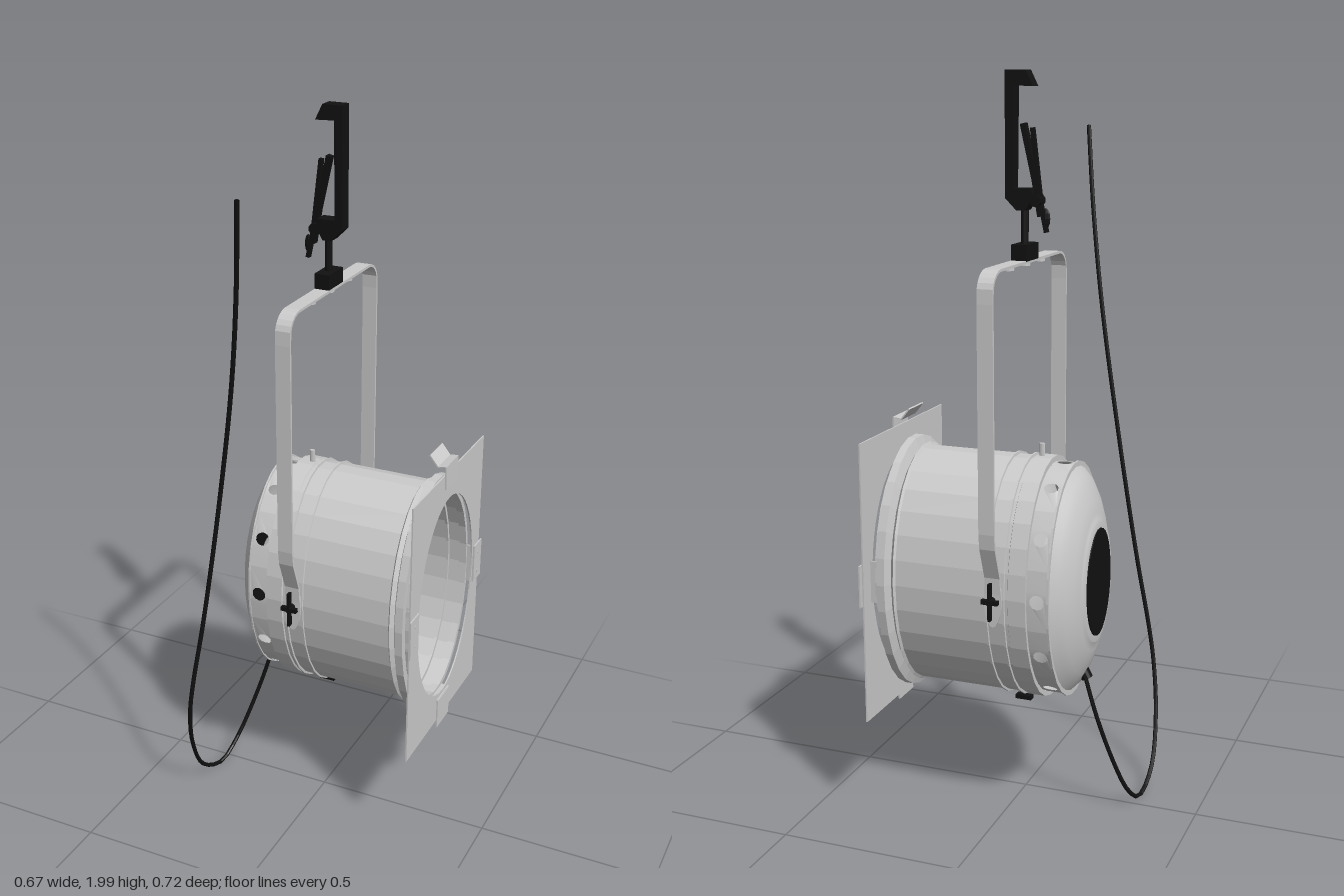
import * as THREE from 'three';

const make = (color, flatShading) =>
  new THREE.MeshStandardMaterial({ color, flatShading, side: THREE.DoubleSide });
const grey = make(0xcccccc, true);
const smooth = make(0xcccccc, false);
const black = make(0x111111, true);

const CY = 0.685, CZ = -0.09, SQUASH = 0.667, YOKE_X = -0.03;

function add(parent, name, geometry, material, x = 0, y = 0, z = 0) {
  const mesh = new THREE.Mesh(geometry, material);
  mesh.name = name;
  mesh.position.set(x, y, z);
  parent.add(mesh);
  return mesh;
}

// Turned part around the x axis, from [x, radius] pairs
function turned(profile, sides = 30) {
  const points = profile.map(([x, r]) => new THREE.Vector2(r, x));
  return new THREE.LatheGeometry(points, sides).rotateZ(-Math.PI / 2);
}

const shapeOf = (pairs) => new THREE.Shape(pairs.map(([x, y]) => new THREE.Vector2(x, y)));

// Extrusion centred on its depth; axis 'x' maps shape (z, y) into the side plane
function plate(shape, depth, sideways) {
  const g = new THREE.ExtrudeGeometry(shape, { depth, bevelEnabled: false, curveSegments: 24 });
  g.translate(0, 0, -depth / 2);
  return sideways ? g.rotateY(-Math.PI / 2) : g;
}

// Outline of a bent strip of constant thickness
function strip(pairs, t) {
  const p = pairs.map(([x, y]) => new THREE.Vector2(x, y));
  const side = (s) => p.map((v, i) => {
    const d = p[Math.min(i + 1, p.length - 1)].clone().sub(p[Math.max(i - 1, 0)]).normalize();
    return new THREE.Vector2(v.x - d.y * t * s / 2, v.y + d.x * t * s / 2);
  });
  return new THREE.Shape([...side(1), ...side(-1).reverse()]);
}

// One curved panel of the vent band with a round hole
function ventPanel(r, x0, x1) {
  const half = r * Math.PI / 12, n = 3, pts = [];
  for (let i = 0; i <= n; i++) pts.push([-half + 2 * half * i / n, x0]);
  for (let i = n; i >= 0; i--) pts.push([-half + 2 * half * i / n, x1]);
  const shape = shapeOf(pts);
  const hole = new THREE.Path();
  hole.absarc(0, (x0 + x1) / 2, 0.02, 0, Math.PI * 2, true);
  shape.holes.push(hole);
  const g = new THREE.ShapeGeometry(shape, 5);
  const pos = g.attributes.position;
  for (let i = 0; i < pos.count; i++) {
    const a = pos.getX(i) / r;
    pos.setXYZ(i, pos.getY(i), r * Math.cos(a), r * Math.sin(a));
  }
  g.computeVertexNormals();
  return g;
}

function buildCan() {
  const can = new THREE.Group();
  can.name = 'lampHousing';
  can.position.set(0, CY, CZ);
  can.scale.z = SQUASH;

  // Barrel with collar, beads and front flange, returning inside as a wall
  add(can, 'barrel', turned([
    [-0.115, 0.318], [-0.115, 0.333], [-0.068, 0.333], [-0.066, 0.328], [-0.058, 0.328],
    [-0.057, 0.335], [-0.052, 0.335], [-0.051, 0.328], [-0.01, 0.328], [-0.009, 0.335],
    [-0.004, 0.335], [-0.003, 0.329], [0.25, 0.329], [0.255, 0.338], [0.265, 0.322],
    [0.275, 0.355], [0.297, 0.355], [0.297, 0.325], [0.311, 0.325], [0.311, 0.308],
    [0.29, 0.308], [0.288, 0.318], [-0.1, 0.318], [-0.115, 0.318]]), grey);
  add(can, 'frontLip', turned([[0.25, 0.318], [0.25, 0.305], [0.257, 0.305], [0.257, 0.318]]), grey);

  // Vent band around the rear
  const panel = ventPanel(0.318, -0.172, -0.115);
  for (let i = 0; i < 12; i++) add(can, 'ventPanel', panel, smooth).rotation.x = i * Math.PI / 6;
  add(can, 'ventRim', turned([[-0.17, 0.318], [-0.17, 0.323], [-0.175, 0.323], [-0.175, 0.305]]), grey);

  // Domed rear cap and its dark grille
  add(can, 'rearDome', turned([[-0.238, 0.13], [-0.24, 0.165], [-0.232, 0.168], [-0.231, 0.19],
    [-0.221, 0.225], [-0.208, 0.26], [-0.192, 0.29], [-0.174, 0.31], [-0.172, 0.318]], 36), smooth);
  add(can, 'rearGrille', new THREE.CylinderGeometry(0.148, 0.148, 0.004, 30).rotateZ(Math.PI / 2),
    black, -0.24);

  // Lamp: neck, reflector bowl and convex lens
  add(can, 'lamp', turned([[-0.225, 0.001], [-0.225, 0.06], [-0.13, 0.08], [-0.112, 0.16], [-0.085, 0.26],
    [-0.06, 0.312], [-0.05, 0.312], [-0.035, 0.25], [-0.02, 0.16], [-0.012, 0.08], [-0.01, 0.0]], 36), smooth);

  // Small hardware on the shell
  add(can, 'topLatch', new THREE.CylinderGeometry(0.008, 0.008, 0.04, 10), grey, -0.08, 0.345);
  add(can, 'bottomBolt', new THREE.CylinderGeometry(0.006, 0.006, 0.035, 8), black, YOKE_X, -0.342);
  add(can, 'bottomWing', new THREE.BoxGeometry(0.045, 0.012, 0.03), black, YOKE_X, -0.358);
  return can;
}

function buildFilterFrame() {
  const frame = new THREE.Group();
  frame.name = 'filterFrame';
  // Thin plate with an oval opening
  const shape = shapeOf([[-0.345, 0.3], [0.17, 0.3], [0.17, 1.07], [-0.345, 1.07]]);
  const hole = new THREE.Path();
  hole.absellipse(CZ, CY, 0.203, 0.305, 0, Math.PI * 2, true);
  shape.holes.push(hole);
  add(frame, 'framePlate', plate(shape, 0.004, true), grey, 0.327);

  // Side clips with a leg to the flange, an outward lip and rivets
  for (const s of [1, -1]) {
    const z = (d) => CZ + s * d;
    add(frame, 'clipLeg', new THREE.BoxGeometry(0.045, 0.115, 0.004), grey, 0.31, CY, z(0.212));
    add(frame, 'clipLip', new THREE.BoxGeometry(0.004, 0.115, 0.056), grey, 0.332, CY, z(0.238));
    for (const dy of [-0.03, 0.03]) {
      add(frame, 'clipRivet', new THREE.CylinderGeometry(0.005, 0.005, 0.003, 8).rotateZ(Math.PI / 2),
        grey, 0.3335, CY + dy, z(0.235));
    }
  }
  // Bent retaining latch on top and lip underneath
  add(frame, 'topLatch', plate(strip([[0.284, 1.122], [0.308, 1.092], [0.331, 1.096], [0.332, 1.03]],
    0.004), 0.088), grey, 0, 0, CZ);
  add(frame, 'bottomLeg', new THREE.BoxGeometry(0.045, 0.004, 0.088), grey, 0.31, 0.368, CZ);
  add(frame, 'bottomLip', new THREE.BoxGeometry(0.004, 0.088, 0.088), grey, 0.332, 0.324, CZ);
  return frame;
}

function buildYoke() {
  const yoke = new THREE.Group();
  yoke.name = 'yoke';
  // Half outline from the pivot to the top centre, then mirrored
  const half = [[0.228, 0.7], [0.23, 0.745], [0.262, 0.83], [0.267, 0.87], [0.267, 1.45]];
  for (let i = 1; i <= 6; i++) {
    const a = i * Math.PI / 12;
    half.push([0.212 + 0.055 * Math.cos(a), 1.472 + 0.055 * Math.sin(a)]);
  }
  const path = [...half, ...half.map(([z, y]) => [-z, y]).reverse()];
  add(yoke, 'yokeBand', plate(strip(path, 0.007), 0.042, true), grey, YOKE_X, 0, CZ);

  for (const s of [1, -1]) {
    // Rounded pivot pad and winged knob
    const pad = new THREE.CylinderGeometry(0.024, 0.024, 0.007, 20).rotateX(Math.PI / 2).scale(1, 3.1, 1);
    add(yoke, 'pivotPad', pad, grey, YOKE_X, CY, CZ + s * 0.228);
    const bolt = new THREE.CylinderGeometry(0.009, 0.009, 0.04, 10).rotateX(Math.PI / 2);
    add(yoke, 'pivotBolt', bolt, black, YOKE_X, CY, CZ + s * 0.238);
    add(yoke, 'pivotWing', new THREE.BoxGeometry(0.007, 0.1, 0.016), black, YOKE_X, CY, CZ + s * 0.25);
    add(yoke, 'pivotBar', new THREE.BoxGeometry(0.046, 0.012, 0.012), black, YOKE_X, CY, CZ + s * 0.25);
  }
  for (const d of [-0.112, 0, 0.112]) {
    add(yoke, 'yokeScrew', new THREE.CylinderGeometry(0.015, 0.015, 0.012, 12), grey, YOKE_X, 1.52, CZ + d);
  }
  return yoke;
}

function buildClamp() {
  const clamp = new THREE.Group();
  clamp.name = 'hangingClamp';
  clamp.position.z = CZ;
  add(clamp, 'clampBase', new THREE.BoxGeometry(0.042, 0.042, 0.085), black, -0.031, 1.55);
  add(clamp, 'clampStem', new THREE.CylinderGeometry(0.01, 0.01, 0.12, 10), black, -0.031, 1.62);
  // Hook-shaped body
  const hook = shapeOf([[-0.04, 1.655], [-0.015, 1.655], [0.015, 1.685], [0.015, 2], [-0.04, 2],
    [-0.06, 1.96], [-0.008, 1.962], [-0.005, 1.71], [-0.055, 1.71], [-0.06, 1.69]]);
  add(clamp, 'clampHook', plate(hook, 0.04), black);
  // Jaw lever with pivot and thumbscrew
  add(clamp, 'jawLever', plate(strip([[-0.075, 1.64], [-0.06, 1.73], [-0.028, 1.87]], 0.014), 0.02), black);
  add(clamp, 'jawLink', plate(strip([[-0.09, 1.6], [-0.075, 1.67], [-0.052, 1.86]], 0.01), 0.014), black);
  add(clamp, 'jawPivot', new THREE.CylinderGeometry(0.016, 0.016, 0.036, 10).rotateX(Math.PI / 2),
    black, -0.065, 1.68);
  add(clamp, 'thumbScrew', new THREE.SphereGeometry(0.012, 8, 6).scale(1, 2.2, 0.5), black, -0.088, 1.635);
  return clamp;
}

export function createModel() {
  const model = new THREE.Group();
  model.name = 'stageLight';
  model.add(buildCan(), buildFilterFrame(), buildYoke(), buildClamp());

  // Hanging power cable
  const route = [[-0.2, 0.43, -0.09], [-0.237, 0.3, -0.086], [-0.28, 0.16, -0.062], [-0.31, 0.065, -0.025],
    [-0.326, 0.017, 0.04], [-0.333, 0.065, 0.14], [-0.32, 0.2, 0.22], [-0.298, 0.34, 0.26],
    [-0.28, 0.44, 0.267], [-0.24, 0.65, 0.264], [-0.18, 1.0, 0.266], [-0.12, 1.36, 0.285],
    [-0.08, 1.63, 0.318], [-0.052, 1.855, 0.355]].map((p) => new THREE.Vector3(...p));
  add(model, 'powerCable', new THREE.TubeGeometry(new THREE.CatmullRomCurve3(route), 70, 0.006, 8), black);
  add(model, 'cableGland', new THREE.CylinderGeometry(0.016, 0.016, 0.04, 12), black, -0.202, 0.425, CZ)
    .rotation.z = 0.3 - Math.PI / 4;
  return model;
}
